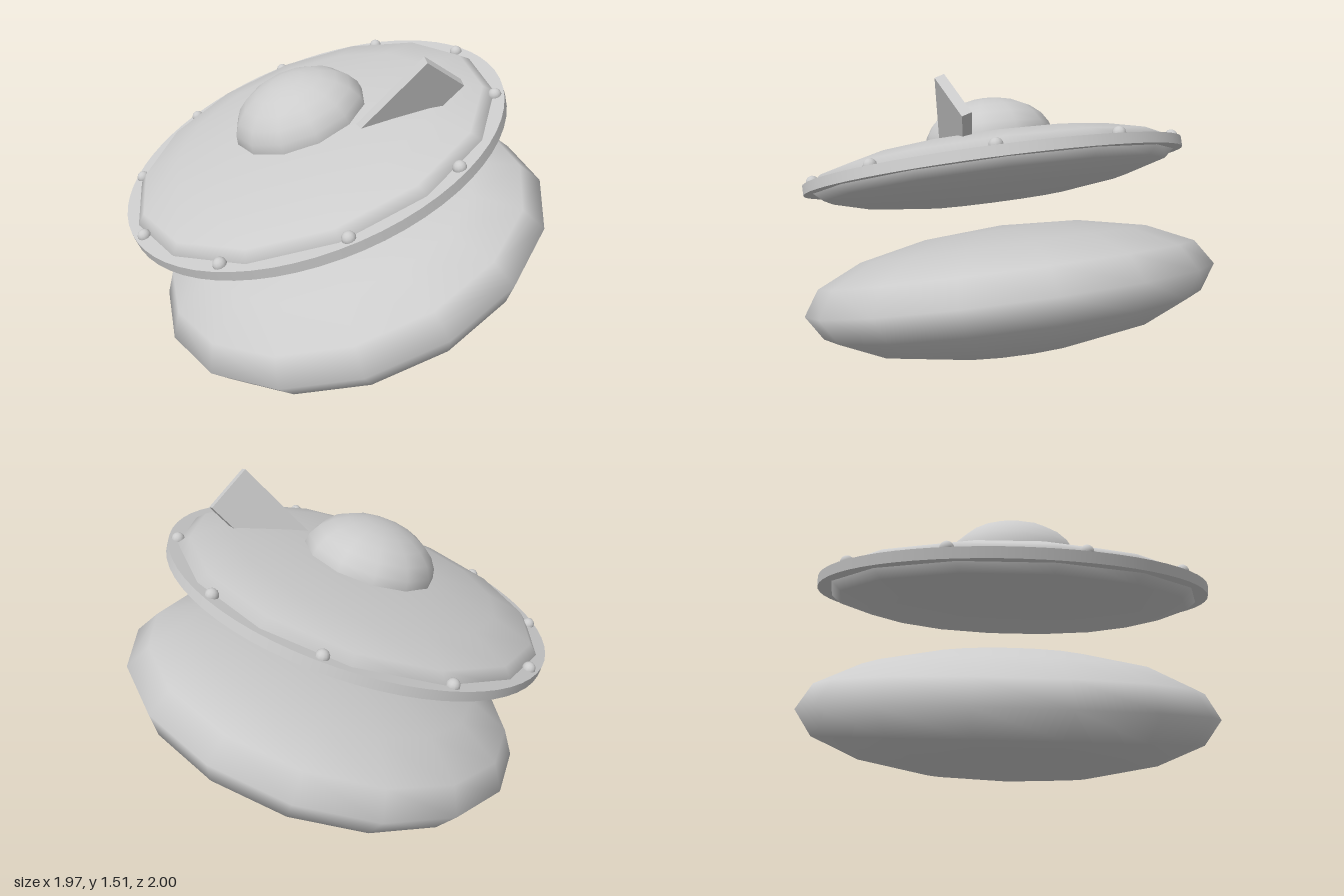
import * as THREE from 'three';

const TILT_X = 0.28;
const TILT_Z = 0.178;

export function createModel() {
  const grey = new THREE.MeshStandardMaterial({ color: 0xcccccc });
  grey.name = 'light grey';
  const model = new THREE.Group();
  model.name = 'twinSaucers';

  const add = (parent, name, geometry, x = 0, y = 0, z = 0) => {
    const mesh = new THREE.Mesh(geometry, grey);
    mesh.name = name;
    mesh.position.set(x, y, z);
    parent.add(mesh);
    return mesh;
  };

  // Flattened sphere with its corners on the z axis
  const ellipsoid = (radius, height, sides, rings) =>
    new THREE.SphereGeometry(1, sides, rings).rotateY(Math.PI / 2).scale(radius, height, radius);

  // Group leaning forward, then rolled to one side
  const tilted = (name, x, y, z) => {
    const group = new THREE.Group();
    group.name = name;
    group.position.set(x, y, z);
    group.rotation.set(TILT_X, 0, TILT_Z, 'ZYX');
    model.add(group);
    return group;
  };

  // Lower body
  const lower = tilted('lowerBody', 0.01, 0.432, -0.05);
  add(lower, 'lowerHull', ellipsoid(0.986, 0.308, 16, 8));

  // Upper saucer with its flat rim
  const saucer = tilted('upperSaucer', -0.085, 0.987, 0.113);
  add(saucer, 'saucerHull', ellipsoid(0.9, 0.162, 14, 8));
  add(saucer, 'rim', new THREE.CylinderGeometry(0.917, 0.917, 0.046, 64));

  // Cabin dome
  const domeShape = new THREE.SphereGeometry(1, 12, 6, 0, Math.PI * 2, 0, Math.PI / 2)
    .rotateY(Math.PI / 2).scale(0.316, 0.208, 0.316);
  add(saucer, 'dome', domeShape, 0, 0.14, 0);

  // Ten studs around the rim
  const studShape = new THREE.SphereGeometry(0.03, 12, 8);
  for (let i = 0; i < 10; i++) {
    const a = (i / 10) * Math.PI * 2;
    add(saucer, 'rimStud', studShape, Math.cos(a) * 0.875, 0.027, Math.sin(a) * 0.875);
  }

  // Leaning tail fin, sunk into the saucer
  const fin = add(model, 'fin', new THREE.BoxGeometry(0.045, 0.47, 0.236), 0.377, 1.263, -0.013);
  const up = new THREE.Vector3(0.532, 0.755, -0.384).normalize();
  const side = new THREE.Vector3(0.81, -0.32, 0.49);
  const along = side.clone().cross(up).normalize();
  side.crossVectors(up, along);
  fin.quaternion.setFromRotationMatrix(new THREE.Matrix4().makeBasis(side, up, along));

  return model;
}
